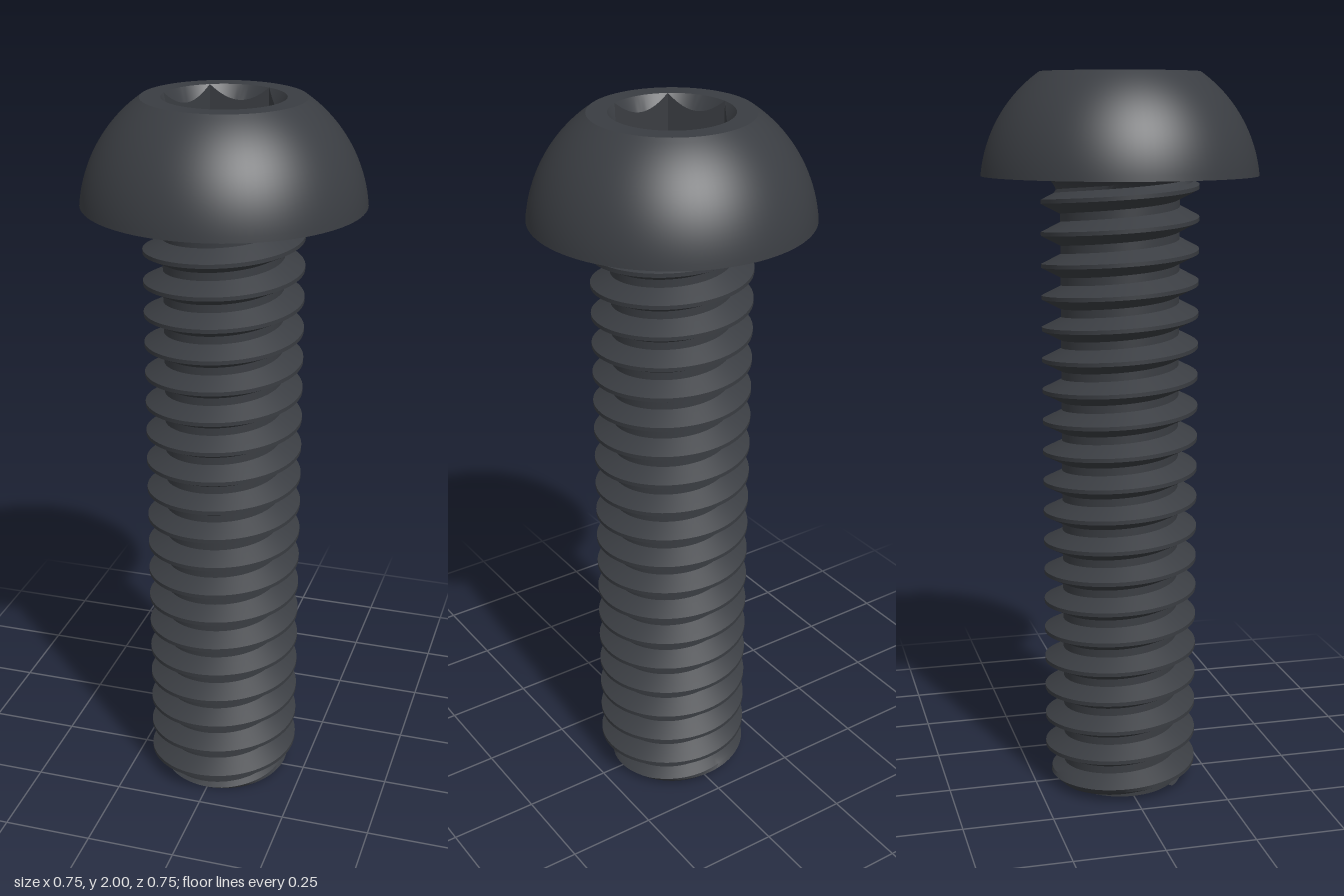
import * as THREE from 'three';
import { toCreasedNormals } from 'three/addons/utils/BufferGeometryUtils.js';

const TAU = Math.PI * 2;
const SEG = 96;
const PITCH = 0.08625, CREST = 0.215, ROOT = 0.162;
const HEAD_Y = 1.727, HEAD_R = 0.375, TOP_R = 0.215;
const SOCKET_R = 0.161, FLAT = 0.1395, FLOOR_Y = 1.85;

// Surface wound around the y axis: f(row, angle) gives [radius, y]
function wrap(rows, f) {
  const pos = [], index = [], w = SEG + 1;
  for (let i = 0; i < rows; i++) {
    for (let j = 0; j <= SEG; j++) {
      const a = (j / SEG) * TAU;
      const [r, y] = f(i, a);
      pos.push(r * Math.cos(a), y, -r * Math.sin(a));
    }
  }
  for (let i = 0; i < rows - 1; i++) {
    for (let j = 0; j < SEG; j++) {
      const a = i * w + j, b = a + 1, c = b + w, d = a + w;
      const ys = [a, b, c, d].map((k) => pos[k * 3 + 1]);
      // skip quads flattened against either end
      if (Math.max(...ys) - Math.min(...ys) < 1e-6) continue;
      index.push(a, b, c, a, c, d);
    }
  }
  const g = new THREE.BufferGeometry();
  g.setAttribute('position', new THREE.Float32BufferAttribute(pos, 3));
  g.setIndex(index);
  return toCreasedNormals(g, 0.5);
}

// Helical thread: each row follows one point of the V profile around the shank
function threadGeometry() {
  const profile = [
    [-0.5, 0], [-0.375, 0], [-0.271, 1 / 3], [-0.167, 2 / 3],
    [-0.0625, 1], [0.0625, 1], [0.167, 2 / 3], [0.271, 1 / 3], [0.375, 0],
  ];
  const n = profile.length, turns = 23;
  const start = 1.638 - 21 * PITCH;
  return wrap(turns * n, (i, a) => {
    const [t, h] = profile[i % n];
    const raw = start + PITCH * (Math.floor(i / n) + t + a / TAU - 0.0);
    const y = THREE.MathUtils.clamp(raw, 0, HEAD_Y);
    let r = ROOT + (CREST - ROOT) * h;
    r = Math.min(r, 0.175 + y); // chamfered tip
    const R = 0.05, d = HEAD_Y - y; // fillet under the head
    if (d < R) r = Math.max(r, 0.222 - Math.sqrt(R * R - (R - d) ** 2));
    return [r, y];
  });
}

// Domed head with flat underside and flat rim around the socket
function headGeometry() {
  const cy = 1.69, R = Math.hypot(HEAD_R, HEAD_Y - cy);
  const a0 = Math.atan2(HEAD_Y - cy, HEAD_R), a1 = Math.atan2(2 - cy, TOP_R);
  const pts = [new THREE.Vector2(0.15, HEAD_Y)];
  for (let i = 0; i <= 20; i++) {
    const a = a0 + ((a1 - a0) * i) / 20;
    pts.push(new THREE.Vector2(R * Math.cos(a), cy + R * Math.sin(a)));
  }
  pts.push(new THREE.Vector2(SOCKET_R, 2));
  return toCreasedNormals(new THREE.LatheGeometry(pts, SEG), 0.5);
}

// Hexagonal socket walls with a conical lead-in
function socketGeometry() {
  return wrap(3, (i, a) => {
    const local = (a % (TAU / 6)) - TAU / 12;
    const hex = Math.min(FLAT / Math.cos(local), SOCKET_R);
    if (i === 0) return [SOCKET_R, 2];
    return [hex, i === 1 ? 2 - (SOCKET_R - hex) * 1.7 : FLOOR_Y];
  });
}

export function createModel() {
  const group = new THREE.Group();
  group.name = 'buttonHeadScrew';
  const material = new THREE.MeshStandardMaterial({ color: 0x3a3d42 });
  const add = (name, geometry) => {
    const mesh = new THREE.Mesh(geometry, material);
    mesh.name = name;
    group.add(mesh);
    return mesh;
  };

  add('threadedShank', threadGeometry());
  add('shankTip', new THREE.CircleGeometry(0.175, SEG).rotateX(Math.PI / 2));
  add('head', headGeometry());
  add('hexSocket', socketGeometry());
  add('socketFloor', new THREE.CircleGeometry(FLAT / Math.cos(Math.PI / 6), 6).rotateX(-Math.PI / 2))
    .position.y = FLOOR_Y;
  return group;
}
